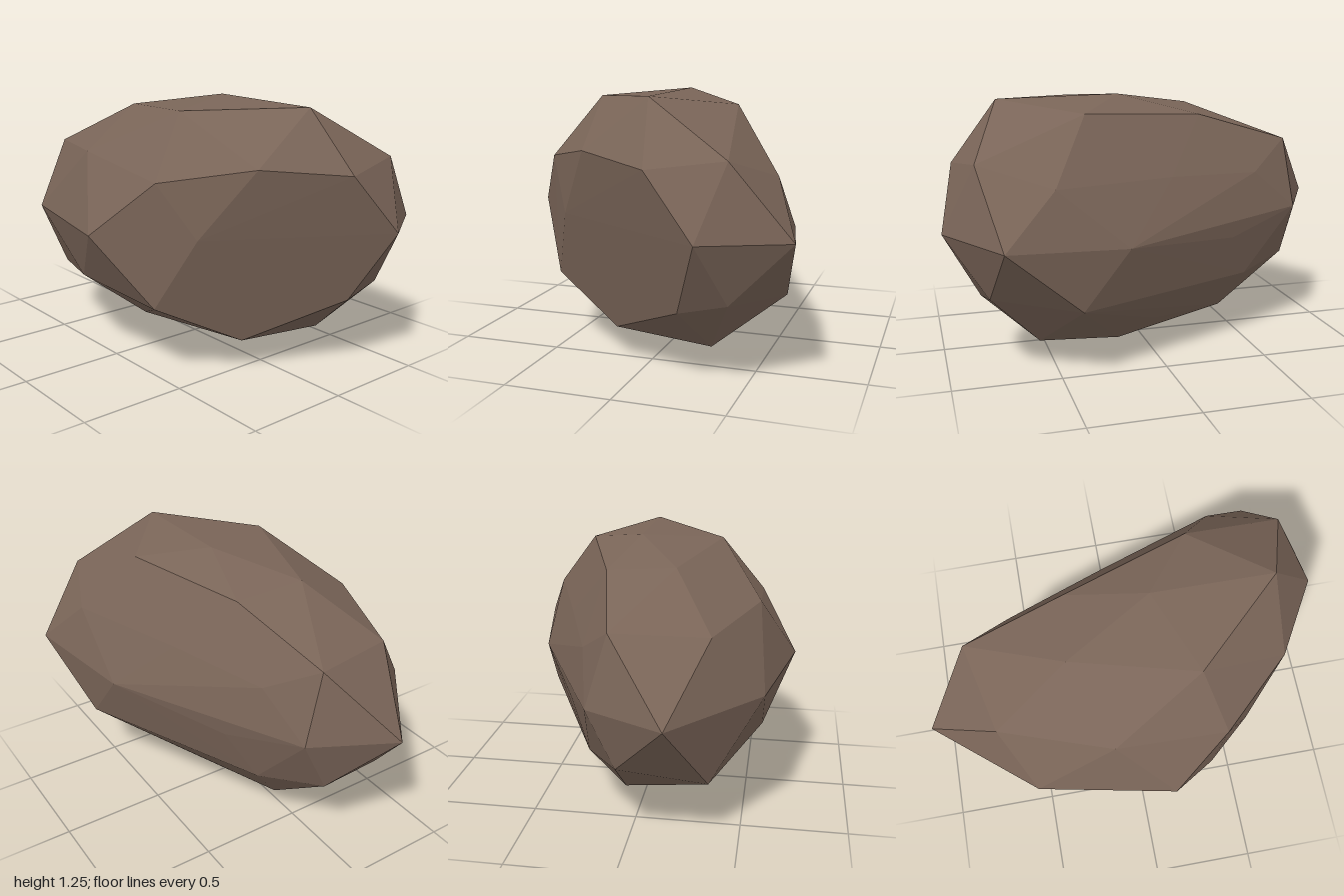
import * as THREE from 'three';
import { ConvexGeometry } from 'three/addons/geometries/ConvexGeometry.js';

// Corner points of the boulder, grouped in rings from crown to base
const rings = {
  crown: [[0.125, 1.25, -0.07], [0.71, 1.24, -0.07], [0.29, 1.215, 0.325],
    [-0.295, 1.18, 0.16], [-0.26, 1.15, -0.175], [0.35, 1.19, -0.365]],
  shoulder: [[-0.76, 1.0, -0.07], [-0.66, 0.97, 0.36], [-0.14, 1.0, 0.545],
    [0.39, 0.93, 0.54], [0.715, 1.0, 0.24], [0.93, 0.96, -0.125], [0.855, 1.0, -0.46],
    [0.53, 0.9, -0.595], [-0.055, 0.89, -0.395], [-0.54, 0.86, -0.23]],
  waist: [[-1, 0.67, 0.2], [-0.525, 0.67, 0.59], [0.125, 0.67, 0.72], [0.53, 0.68, 0.42],
    [1, 0.68, -0.36], [0.77, 0.665, -0.72], [0.2, 0.62, -0.605], [-0.39, 0.56, -0.33],
    [-0.785, 0.66, -0.17]],
  underside: [[-0.78, 0.385, -0.04], [-0.68, 0.295, 0.36], [-0.16, 0.385, 0.575],
    [0.365, 0.345, 0.535], [0.83, 0.345, -0.235], [0.81, 0.39, -0.45],
    [0.42, 0.35, -0.62], [-0.5, 0.34, -0.22]],
  base: [[0.125, 0, -0.07], [0.54, 0.155, 0.16], [0.57, 0.12, -0.31],
    [-0.02, 0.15, -0.24], [-0.425, 0.125, -0.06], [-0.035, 0.16, 0.295]],
};

export function createModel() {
  const stone = new THREE.MeshStandardMaterial({ color: 0x7a6558, flatShading: true });
  stone.name = 'brown stone';

  // Faceted boulder wrapped around the rings
  const points = Object.values(rings).flat().map((p) => new THREE.Vector3(...p));
  const boulder = new THREE.Mesh(new ConvexGeometry(points), stone);
  boulder.name = 'boulder';

  const group = new THREE.Group();
  group.name = 'rock';
  group.add(boulder);
  return group;
}
